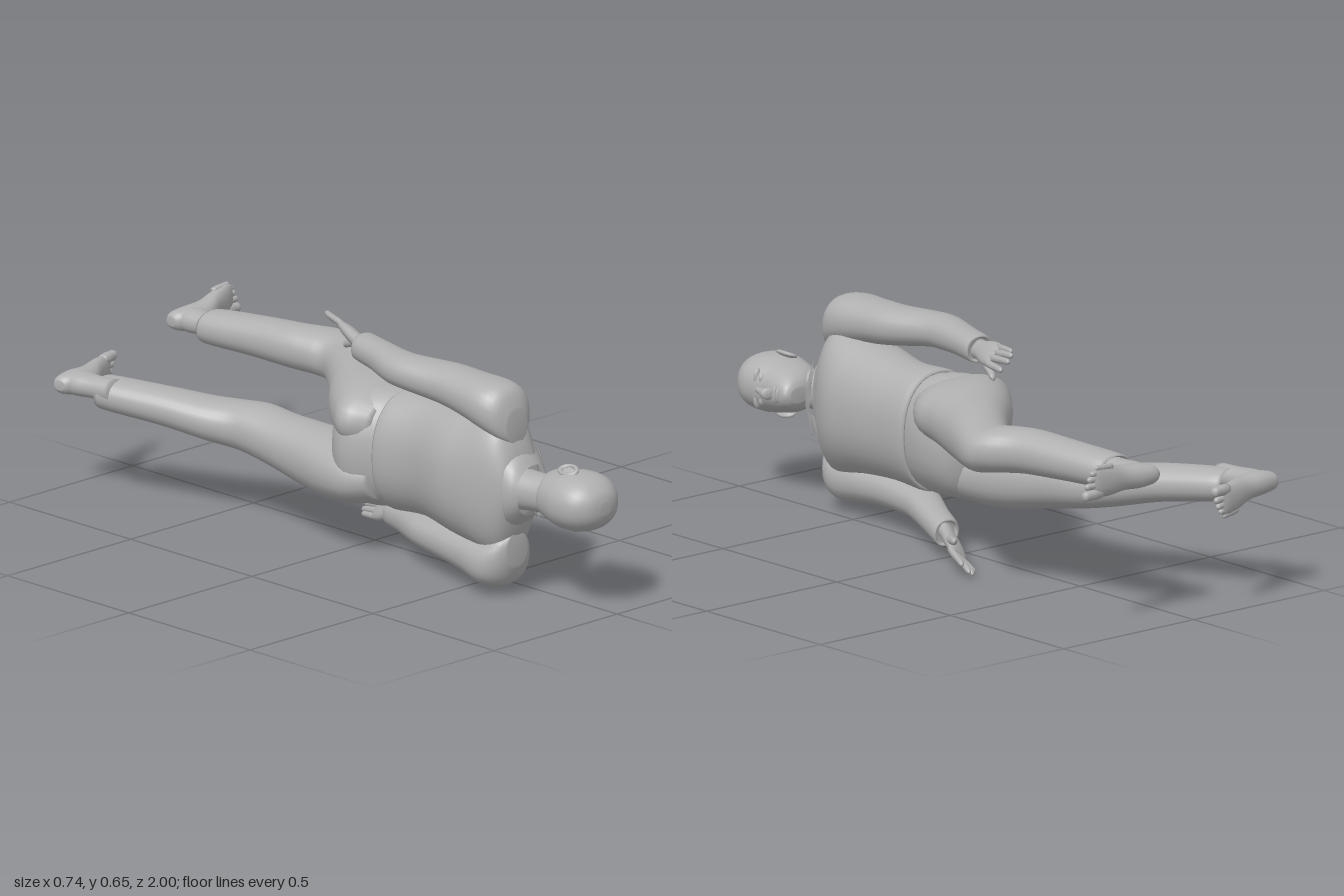
import * as THREE from 'three';

const grey = new THREE.MeshStandardMaterial({ color: 0xb0b0b0 });
grey.name = 'plain grey';
const greyThin = grey.clone();
greyThin.name = 'plain grey';
greyThin.side = THREE.DoubleSide;

const catmull = (a, b, c, d, t) => 0.5 * (2 * b + (c - a) * t +
  (2 * a - 5 * b + 4 * c - d) * t * t + (3 * b - a - 3 * c + d) * t * t * t);

// Smooth skin over rings [x, y, z, r1, r2, turn, tilt]; axis 'z' has rings in xy, axis 'x' in yz
function loft(name, rings, { axis = 'z', sides = 28, steps = 4, open = false } = {}) {
  const k = axis === 'z' ? 2 : 0;
  let list = rings.map(r => [...r, 0, 0].slice(0, 7));
  if (list[0][k] > list[list.length - 1][k]) list = list.reverse();
  const at = i => list[Math.max(0, Math.min(list.length - 1, i))];
  const pos = [], index = [];
  const rows = (list.length - 1) * steps + 1;
  for (let n = 0; n < rows; n++) {
    const i = Math.min(Math.floor(n / steps), list.length - 2), t = n / steps - i;
    const [x, y, z, r1, r2, turn, tilt] = at(i).map((_, c) => catmull(at(i - 1)[c], at(i)[c], at(i + 1)[c], at(i + 2)[c], t));
    for (let j = 0; j < sides; j++) {
      const a = j / sides * Math.PI * 2, c = Math.cos(a), s = Math.sin(a);
      const u = Math.sign(c) * Math.abs(c) ** 0.9 * r1, v = Math.sign(s) * Math.abs(s) ** 0.9 * r2;
      const p = u * Math.cos(turn) - v * Math.sin(turn), q = u * Math.sin(turn) + v * Math.cos(turn);
      if (axis === 'z') pos.push(x + p, y + q, z + tilt * p);
      else pos.push(x, y + p, z + q);
    }
  }
  for (let n = 0; n < rows - 1; n++) for (let j = 0; j < sides; j++) {
    const a = n * sides + j, b = n * sides + (j + 1) % sides;
    index.push(a, b, b + sides, a, b + sides, a + sides);
  }
  if (!open) {
    const first = list[0], last = list[list.length - 1], c0 = pos.length / 3, top = (rows - 1) * sides;
    pos.push(...first.slice(0, 3), ...last.slice(0, 3));
    for (let j = 0; j < sides; j++) {
      const m = (j + 1) % sides;
      index.push(c0, m, j, c0 + 1, top + j, top + m);
    }
  }
  const g = new THREE.BufferGeometry();
  g.setAttribute('position', new THREE.Float32BufferAttribute(pos, 3));
  g.setIndex(index);
  g.computeVertexNormals();
  const mesh = new THREE.Mesh(g, open ? greyThin : grey);
  mesh.name = name;
  return mesh;
}

// Rounded finger or toe from p to q
function digit(name, p, q, r, axis) {
  const rings = [[0, 0.9], [0.35, 1], [0.6, 0.9], [0.88, 0.85], [0.97, 0.55], [1, 0.15]].map(([t, f]) =>
    [...p.map((v, i) => v + (q[i] - v) * t), r * f, r * f]);
  return loft(name, rings, { axis, sides: 10, steps: 2 });
}

function blob(name, x, y, z, sx, sy, sz) {
  const mesh = new THREE.Mesh(new THREE.SphereGeometry(1, 18, 12), grey);
  mesh.name = name;
  mesh.position.set(x, y, z);
  mesh.scale.set(sx, sy, sz);
  return mesh;
}

// Palm runs from wrist to knuckles; side is +1 for the upper hand, -1 for the lower
function hand(name, wrist, knuckle, tips, thumbTip, side) {
  const g = new THREE.Group();
  g.name = name;
  const turn = -0.7 * side, ax = Math.cos(turn), ay = Math.sin(turn);
  const mix = t => wrist.map((v, i) => v + (knuckle[i] - v) * t);
  g.add(loft('palm', [[...mix(-0.2), 0.03, 0.024, turn], [...mix(0.15), 0.031, 0.022, turn],
    [...mix(0.55), 0.04, 0.021, turn], [...mix(0.9), 0.041, 0.016, turn], [...mix(1.06), 0.034, 0.009, turn]], { sides: 18 }));
  tips.forEach((tip, i) => {
    const o = -0.031 + i * 0.0205;
    const base = [knuckle[0] + ax * o, knuckle[1] + ay * o, knuckle[2] + 0.012];
    g.add(digit('finger', base, tip, i === 0 ? 0.0095 : 0.011, 'z'));
  });
  const m = mix(0.4);
  g.add(digit('thumb', [m[0] + ax * 0.02, m[1] + ay * 0.02, m[2]], thumbTip, 0.0135, 'z'));
  return g;
}

// Bare foot pointing along +x from the heel; side places the little toe
function foot(name, side) {
  const g = new THREE.Group();
  g.name = name;
  g.add(loft('ankle', [[0.055, 0, 0.16, 0.038, 0.034], [0.055, 0, 0.09, 0.04, 0.033],
    [0.06, 0, 0.04, 0.05, 0.036], [0.065, 0, 0.0, 0.05, 0.033]], { sides: 20 }));
  g.add(loft('sole and instep', [[0, 0, 0, 0.014, 0.018], [0.015, 0, 0.004, 0.028, 0.031], [0.06, 0, 0.014, 0.036, 0.042],
    [0.12, 0.004 * side, 0.015, 0.037, 0.038], [0.18, 0.01 * side, 0, 0.045, 0.027],
    [0.23, 0.015 * side, -0.008, 0.047, 0.018], [0.252, 0.016 * side, -0.01, 0.04, 0.01]], { axis: 'x', sides: 20 }));
  [[-0.021, 0.29, 0.017], [0.006, 0.282, 0.0115], [0.026, 0.273, 0.011], [0.043, 0.262, 0.0105], [0.058, 0.247, 0.01]]
    .forEach(([y, x, r]) => g.add(digit('toe', [x - 0.07, y * side * 0.9, -0.008], [x, y * side, -0.013], r, 'x')));
  return g;
}

export function createModel() {
  const model = new THREE.Group();
  model.name = 'lying walking man';

  // Head and face, looking along +x
  const head = new THREE.Group();
  head.name = 'head';
  head.add(loft('skull', [
    [-0.045, 0.333, 0.998, 0.02, 0.018], [-0.045, 0.333, 0.988, 0.055, 0.045], [-0.045, 0.333, 0.96, 0.088, 0.07],
    [-0.041, 0.333, 0.92, 0.107, 0.083], [-0.04, 0.333, 0.87, 0.108, 0.085], [-0.038, 0.333, 0.83, 0.1, 0.078],
    [-0.03, 0.333, 0.79, 0.093, 0.07], [-0.018, 0.333, 0.76, 0.08, 0.06], [0.0, 0.333, 0.735, 0.058, 0.042],
    [0.012, 0.333, 0.724, 0.03, 0.022]], { sides: 32 }));
  head.add(loft('nose', [[0.055, 0.333, 0.86, 0.01, 0.008], [0.064, 0.333, 0.83, 0.013, 0.01],
    [0.069, 0.333, 0.805, 0.019, 0.015], [0.066, 0.333, 0.795, 0.017, 0.018], [0.06, 0.333, 0.787, 0.008, 0.01]], { sides: 14 }));
  head.add(blob('upper lip', 0.06, 0.333, 0.773, 0.01, 0.026, 0.006), blob('lower lip', 0.058, 0.333, 0.763, 0.01, 0.022, 0.006));
  head.add(blob('chin', 0.042, 0.333, 0.742, 0.019, 0.026, 0.016));
  for (const s of [-1, 1]) {
    head.add(blob('brow', 0.05, 0.333 + s * 0.034, 0.862, 0.015, 0.027, 0.009));
    head.add(blob('eye', 0.05, 0.333 + s * 0.033, 0.843, 0.011, 0.015, 0.008));
    const ear = new THREE.Group();
    ear.name = 'ear';
    const rim = new THREE.Mesh(new THREE.TorusGeometry(0.02, 0.006, 8, 20), grey);
    rim.name = 'ear rim';
    rim.rotation.x = Math.PI / 2;
    rim.scale.y = 1.45;
    ear.add(rim, blob('ear bowl', 0, -s * 0.004, 0, 0.02, 0.006, 0.028));
    ear.position.set(-0.055, 0.333 + s * 0.087, 0.855);
    ear.rotation.z = s * 0.4;
    head.add(ear);
  }
  model.add(head);
  model.add(loft('neck', [[-0.06, 0.333, 0.81, 0.06, 0.056], [-0.07, 0.333, 0.75, 0.058, 0.056], [-0.085, 0.333, 0.65, 0.064, 0.064]]));

  // Shirt body
  model.add(loft('shirt', [
    [-0.085, 0.335, 0.7, 0.065, 0.07], [-0.086, 0.335, 0.685, 0.08, 0.13], [-0.085, 0.335, 0.65, 0.1, 0.2],
    [-0.072, 0.335, 0.6, 0.127, 0.222], [-0.061, 0.335, 0.53, 0.148, 0.207], [-0.058, 0.335, 0.45, 0.151, 0.193],
    [-0.038, 0.333, 0.3, 0.134, 0.177], [-0.04, 0.33, 0.175, 0.142, 0.181], [-0.04, 0.33, 0.18, 0.12, 0.16]], { sides: 36 }));

  // Open collar with two pointed flaps
  model.add(loft('collar', [[-0.07, 0.333, 0.72, 0.076, 0.074, 0, -0.2], [-0.065, 0.333, 0.695, 0.095, 0.1, 0, -0.25],
    [-0.055, 0.333, 0.66, 0.112, 0.128, 0, -0.3]], { open: true }));
  for (const s of [-1, 1]) {
    const flap = new THREE.BufferGeometry();
    flap.setAttribute('position', new THREE.Float32BufferAttribute([
      0.015, 0.333 + s * 0.015, 0.695, 0.0, 0.333 + s * 0.115, 0.675, 0.07, 0.333 + s * 0.085, 0.6,
      0.015, 0.333 + s * 0.015, 0.695, 0.07, 0.333 + s * 0.085, 0.6, 0.062, 0.333 + s * 0.02, 0.615], 3));
    flap.computeVertexNormals();
    const mesh = new THREE.Mesh(flap, greyThin);
    mesh.name = 'collarFlap';
    model.add(mesh);
  }

  // Sleeves, ending in tucked-in cuffs
  model.add(loft('leftSleeve', [[-0.09, 0.52, 0.68, 0.04, 0.05], [-0.092, 0.55, 0.655, 0.075, 0.077],
    [-0.095, 0.57, 0.6, 0.093, 0.075], [-0.092, 0.582, 0.5, 0.085, 0.064], [-0.09, 0.59, 0.4, 0.078, 0.058],
    [-0.115, 0.6, 0.27, 0.067, 0.05], [-0.11, 0.602, 0.2, 0.062, 0.048], [-0.08, 0.605, 0.1, 0.053, 0.043],
    [-0.052, 0.605, 0.005, 0.05, 0.04], [-0.052, 0.605, 0.012, 0.034, 0.03]]));
  model.add(loft('rightSleeve', [[-0.09, 0.15, 0.68, 0.04, 0.05], [-0.092, 0.12, 0.655, 0.075, 0.077],
    [-0.095, 0.1, 0.6, 0.093, 0.075], [-0.082, 0.105, 0.5, 0.085, 0.064], [-0.07, 0.108, 0.4, 0.076, 0.057],
    [-0.045, 0.105, 0.27, 0.067, 0.05], [-0.018, 0.1, 0.2, 0.062, 0.047], [0.03, 0.088, 0.1, 0.053, 0.042],
    [0.073, 0.077, 0.005, 0.048, 0.04], [0.073, 0.077, 0.012, 0.034, 0.03]]));
  model.add(hand('leftHand', [-0.05, 0.605, 0.0], [0.0, 0.62, -0.125],
    [[0.0, 0.647, -0.2], [0.018, 0.641, -0.222], [0.035, 0.627, -0.228], [0.052, 0.602, -0.215]], [0.025, 0.56, -0.15], 1));
  model.add(hand('rightHand', [0.075, 0.075, 0.0], [0.135, 0.045, -0.12],
    [[0.14, 0.01, -0.195], [0.166, 0.013, -0.22], [0.186, 0.023, -0.228], [0.2, 0.045, -0.212]], [0.17, 0.096, -0.145], -1));

  // Trousers: seat and two striding legs
  model.add(loft('seat', [[-0.045, 0.33, 0.22, 0.11, 0.15], [-0.04, 0.33, 0.17, 0.13, 0.172], [-0.055, 0.33, 0.08, 0.16, 0.18],
    [-0.045, 0.33, 0.0, 0.13, 0.165], [-0.035, 0.33, -0.04, 0.06, 0.09]]));
  model.add(loft('leftTrouserLeg', [[-0.045, 0.415, 0.15, 0.12, 0.07], [-0.045, 0.42, 0.08, 0.175, 0.09],
    [-0.012, 0.42, 0.0, 0.162, 0.098], [0.05, 0.417, -0.1, 0.14, 0.095], [0.125, 0.42, -0.2, 0.115, 0.087],
    [0.218, 0.425, -0.34, 0.094, 0.07], [0.215, 0.435, -0.41, 0.09, 0.068], [0.185, 0.44, -0.5, 0.077, 0.065],
    [0.168, 0.44, -0.65, 0.071, 0.058], [0.145, 0.437, -0.815, 0.065, 0.05], [0.142, 0.437, -0.8, 0.045, 0.038]]));
  model.add(loft('rightTrouserLeg', [[-0.06, 0.25, 0.15, 0.12, 0.07], [-0.08, 0.243, 0.07, 0.14, 0.088],
    [-0.085, 0.24, -0.04, 0.125, 0.094], [-0.083, 0.245, -0.15, 0.104, 0.092], [-0.085, 0.26, -0.28, 0.092, 0.08],
    [-0.09, 0.275, -0.38, 0.09, 0.075], [-0.108, 0.28, -0.45, 0.086, 0.068, 0, -0.15], [-0.15, 0.29, -0.53, 0.078, 0.062, 0, -0.3],
    [-0.205, 0.31, -0.65, 0.068, 0.055, 0, -0.33], [-0.275, 0.328, -0.83, 0.06, 0.048, 0, -0.33],
    [-0.272, 0.328, -0.815, 0.042, 0.036, 0, -0.33]]));

  // Bare feet
  const leftFoot = foot('leftFoot', 1);
  leftFoot.position.set(0.078, 0.442, -0.922);
  const rightFoot = foot('rightFoot', -1);
  rightFoot.position.set(-0.37, 0.345, -0.928);
  rightFoot.rotation.y = 0.16;
  model.add(leftFoot, rightFoot);
  return model;
}
